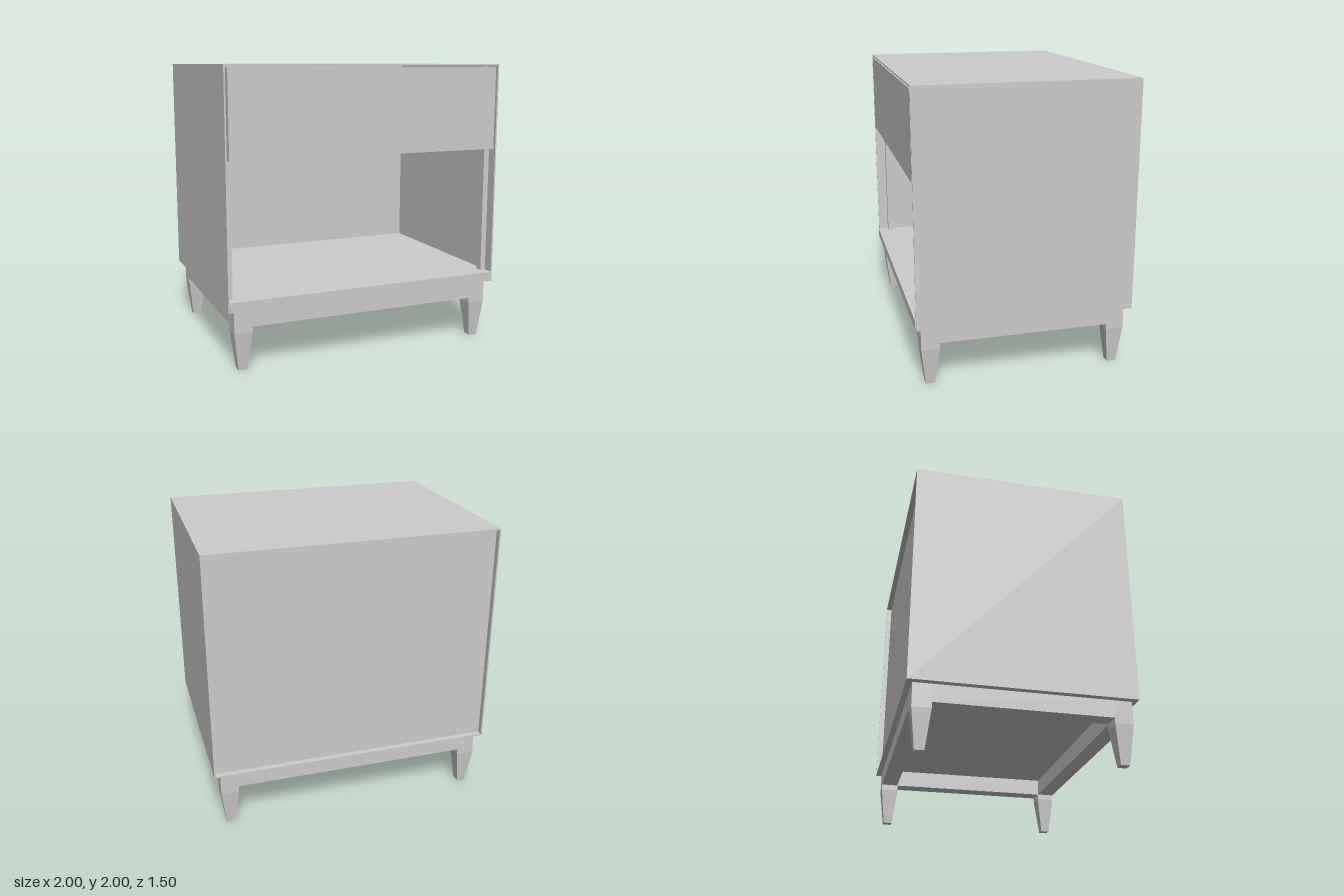
import * as THREE from 'three';

const material = new THREE.MeshStandardMaterial({ color: 0xcccccc });

// Box given by its low and high corners
function slab(name, [x0, y0, z0], [x1, y1, z1]) {
  const mesh = new THREE.Mesh(new THREE.BoxGeometry(x1 - x0, y1 - y0, z1 - z0), material);
  mesh.position.set((x0 + x1) / 2, (y0 + y1) / 2, (z0 + z1) / 2);
  mesh.name = name;
  return mesh;
}

// Rectangular frame in the xy plane, centred, extruded along +z
function frameGeometry(halfW, halfH, wall, depth) {
  const rect = (Type, w, h) => new Type([
    new THREE.Vector2(-w, -h), new THREE.Vector2(w, -h),
    new THREE.Vector2(w, h), new THREE.Vector2(-w, h),
  ]);
  const shape = rect(THREE.Shape, halfW, halfH);
  shape.holes.push(rect(THREE.Path, halfW - wall, halfH - wall));
  return new THREE.ExtrudeGeometry(shape, { depth, bevelEnabled: false });
}

export function createModel() {
  const model = new THREE.Group();
  model.name = 'nightstand';

  // Thin outer case, open at front and back
  const shell = new THREE.Mesh(frameGeometry(1, 0.79, 0.01, 1.495), material);
  shell.position.set(0, 1.21, -0.75);
  shell.name = 'caseShell';
  model.add(shell);

  // Recessed back and thick floor
  model.add(slab('backPanel', [-0.99, 0.43, -0.71], [0.99, 1.99, -0.69]));
  model.add(slab('floorPanel', [-0.99, 0.43, -0.69], [0.99, 0.49, 0.75]));

  // Drawer front with the drawer body behind it
  model.add(slab('drawerFront', [-0.975, 1.4, 0.67], [0.975, 1.98, 0.745]));
  model.add(slab('drawerBody', [-0.95, 1.41, -0.69], [0.95, 1.97, 0.67]));

  // Narrow posts inside the opening
  for (const s of [-1, 1]) {
    const post = slab(s > 0 ? 'leftPost' : 'rightPost', [-0.02, 0.49, 0.62], [0.02, 1.98, 0.67]);
    post.position.x = s * 0.97;
    model.add(post);
  }

  // Base apron, stretched in depth from four rails
  const apron = new THREE.Group();
  apron.name = 'baseApron';
  for (const s of [-1, 1]) {
    const rail = slab('longRail', [-0.955, 0.3, -0.06], [0.955, 0.42, 0.06]);
    rail.position.z = s * 0.65;
    const sideRail = slab('sideRail', [-0.06, 0.3, -0.59], [0.06, 0.42, 0.59]);
    sideRail.position.x = s * 0.895;
    apron.add(rail, sideRail);
  }
  model.add(apron);

  // Square tapered legs
  const profile = [[0, 0], [0.031, 0], [0.0625, 0.26], [0.0625, 0.3], [0, 0.3]]
    .map(([half, y]) => new THREE.Vector2(half * Math.SQRT2, y));
  const legGeometry = new THREE.LatheGeometry(profile, 4, Math.PI / 4).toNonIndexed();
  legGeometry.computeVertexNormals();
  for (const x of [-1, 1]) {
    for (const z of [-1, 1]) {
      const leg = new THREE.Mesh(legGeometry, material);
      leg.position.set(x * 0.8925, 0, z * 0.6475);
      leg.name = `${z > 0 ? 'front' : 'back'}${x > 0 ? 'Left' : 'Right'}Leg`;
      model.add(leg);
    }
  }

  return model;
}
